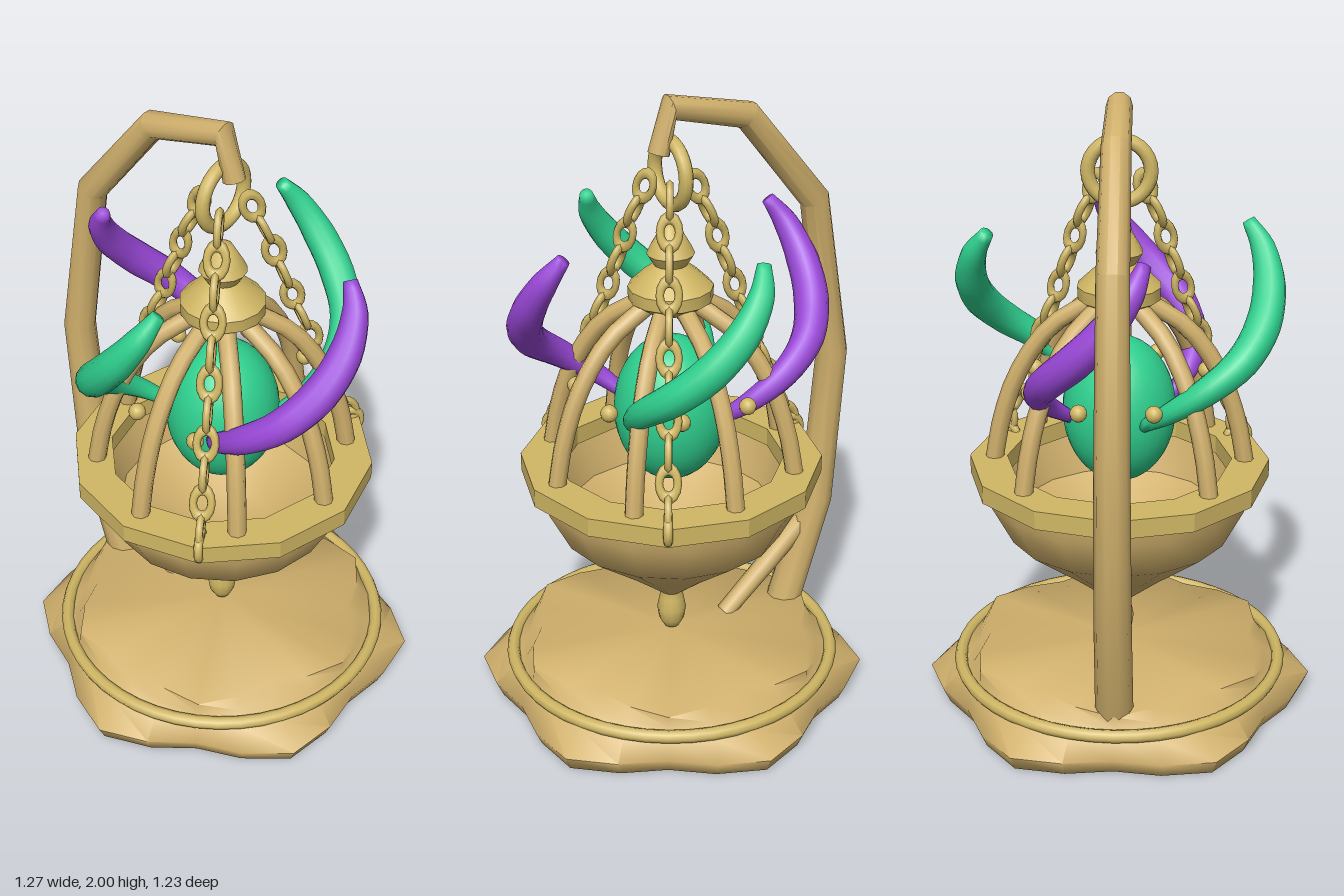
import * as THREE from 'three';
import { toCreasedNormals } from 'three/addons/utils/BufferGeometryUtils.js';

const V = (x, y, z) => new THREE.Vector3(x, y, z);

function material(name, color) {
  const m = new THREE.MeshStandardMaterial({ color });
  m.name = name;
  return m;
}

function add(parent, name, geometry, mat, x = 0, y = 0, z = 0) {
  const mesh = new THREE.Mesh(geometry, mat);
  mesh.name = name;
  mesh.position.set(x, y, z);
  parent.add(mesh);
  return mesh;
}

const lathe = (profile, segments) =>
  new THREE.LatheGeometry(profile.map(([r, y]) => new THREE.Vector2(r, y)), segments);

// Tapered, capped tube through a list of points
function sweep(points, radii, sides, crease) {
  const pos = [], index = [], n = points.length;
  let normal = V(1, 0, 0);
  points.forEach((p, i) => {
    const t = points[Math.min(i + 1, n - 1)].clone().sub(points[Math.max(i - 1, 0)]).normalize();
    normal = normal.clone().addScaledVector(t, -normal.dot(t)).normalize();
    const b = t.clone().cross(normal);
    for (let j = 0; j < sides; j++) {
      const a = (j / sides) * Math.PI * 2;
      const v = p.clone().addScaledVector(normal, Math.cos(a) * radii[i]).addScaledVector(b, Math.sin(a) * radii[i]);
      pos.push(v.x, v.y, v.z);
    }
  });
  const first = n * sides, last = first + 1;
  pos.push(...points[0].toArray(), ...points[n - 1].toArray());
  for (let j = 0; j < sides; j++) {
    const k = (j + 1) % sides;
    for (let i = 0; i < n - 1; i++) {
      const a = i * sides + j, b = i * sides + k;
      index.push(a, b, a + sides, b, b + sides, a + sides);
    }
    index.push(first, k, j, last, (n - 1) * sides + j, (n - 1) * sides + k);
  }
  const g = new THREE.BufferGeometry();
  g.setAttribute('position', new THREE.Float32BufferAttribute(pos, 3));
  g.setIndex(index);
  return toCreasedNormals(g, crease);
}

// Smooth tapered horn: points and radii are both interpolated
function curvedSweep(points, radii, steps, sides) {
  const curve = new THREE.CatmullRomCurve3(points);
  const pts = [], rs = [];
  for (let i = 0; i <= steps; i++) {
    const f = (i / steps) * (radii.length - 1);
    const k = Math.min(Math.floor(f), radii.length - 2);
    pts.push(curve.getPoint(i / steps));
    rs.push(THREE.MathUtils.lerp(radii[k], radii[k + 1], f - k));
  }
  return sweep(pts, rs, sides, 1.6);
}

// Base whose six lobes fade into the opposite phase towards the top
function baseGeometry() {
  const g = lathe([[0, 0], [0.575, 0], [0.597, 0.05], [0.54, 0.108], [0.495, 0.14], [0.47, 0.178], [0, 0.18]], 24);
  const p = g.attributes.position;
  for (let i = 0; i < p.count; i++) {
    const x = p.getX(i), y = p.getY(i), z = p.getZ(i);
    const amount = y < 0.06 ? 0.067 : y < 0.12 ? 0.025 : y < 0.15 ? -0.03 : -0.08;
    const s = 1 + amount * Math.cos(6 * Math.atan2(z, x));
    p.setXYZ(i, x * s, y, z * s);
  }
  return toCreasedNormals(g, 1.2);
}

export function createModel() {
  const bronze = material('bronze', 0xd0b06c);
  const brass = material('brass', 0xd0b764);
  const green = material('green', 0x2fd08f);
  const purple = material('purple', 0x9a48d8);
  const model = new THREE.Group();
  model.name = 'hangingLantern';

  // Bent post and its brace
  const postPath = [[0.14, -0.4], [0.53, -0.525], [1.06, -0.565], [1.6, -0.477], [1.905, -0.225], [1.965, 0.038], [1.83, 0.075]];
  add(model, 'post', sweep(postPath.map(([y, z]) => V(0, y, z)), [0.06, 0.057, 0.053, 0.048, 0.044, 0.04, 0.034], 10, 0.7), bronze);
  add(model, 'postBrace', sweep([V(0, 0.17, -0.17), V(0, 0.31, -0.325), V(0, 0.47, -0.5)], [0.031, 0.034, 0.035], 8, 0.9), bronze);

  // Everything else shares one vertical axis
  const lantern = new THREE.Group();
  lantern.name = 'lantern';
  lantern.position.z = 0.036;
  model.add(lantern);

  // Base and trim
  add(lantern, 'base', baseGeometry(), bronze);
  add(lantern, 'baseTrim', new THREE.TorusGeometry(0.53, 0.021, 8, 48), brass, 0, 0.122).rotation.x = Math.PI / 2;

  // Bowl with inner wall, rim and hanging drop
  add(lantern, 'bowl', toCreasedNormals(lathe([[0.03, 0.32], [0.06, 0.345], [0.18, 0.445], [0.36, 0.585], [0.43, 0.72], [0.435, 0.79],
    [0.38, 0.79], [0.33, 0.64], [0.16, 0.52], [0, 0.48]], 16), 0.6), bronze);
  add(lantern, 'rim', toCreasedNormals(lathe([[0.36, 0.77], [0.48, 0.77], [0.48, 0.83], [0.36, 0.83], [0.36, 0.77]], 12), 0.3), brass);
  add(lantern, 'drop', lathe([[0, 0.178], [0.025, 0.19], [0.042, 0.22], [0.048, 0.26], [0.04, 0.3], [0.034, 0.33], [0.04, 0.36]], 12), brass);

  // Glowing core
  add(lantern, 'core', new THREE.SphereGeometry(0.18, 32, 20), green, 0, 1.0, 0).scale.y = 1.33;

  // Cage ribs and studs
  const ribCurve = new THREE.CatmullRomCurve3([V(0.405, 0.8, 0), V(0.375, 0.96, 0), V(0.318, 1.12, 0), V(0.215, 1.27, 0), V(0.07, 1.365, 0)]);
  const ribGeometry = new THREE.TubeGeometry(ribCurve, 10, 0.029, 8);
  const studGeometry = new THREE.SphereGeometry(0.027, 12, 8);
  for (let i = 0; i < 8; i++) {
    const a = (i * Math.PI) / 4, s = a + Math.PI / 8;
    add(lantern, 'rib', ribGeometry, bronze).rotation.y = a;
    add(lantern, 'stud', studGeometry, brass, 0.297 * Math.cos(s), 1.09, 0.297 * Math.sin(s));
  }

  // Finial
  add(lantern, 'finial', toCreasedNormals(lathe([[0, 1.33], [0.08, 1.335], [0.13, 1.37], [0.132, 1.41], [0.085, 1.455], [0.052, 1.48],
    [0.074, 1.515], [0.062, 1.54], [0.027, 1.6], [0, 1.612]], 14), 0.7), brass);

  // Hanging ring
  add(lantern, 'hangingRing', new THREE.TorusGeometry(0.096, 0.022, 10, 28), brass, 0, 1.767, 0);

  // Three chains from the ring to the rim
  const linkGeometry = new THREE.TorusGeometry(0.028, 0.0125, 6, 14).scale(1, 1.55, 1);
  const hookGeometry = new THREE.TorusGeometry(0.042, 0.014, 8, 16);
  const chainCurve = new THREE.CatmullRomCurve3([V(0.09, 1.71, 0), V(0.14, 1.6, 0), V(0.215, 1.4, 0), V(0.335, 1.1, 0), V(0.44, 0.86, 0)]);
  const links = 11, down = V(0, -1, 0);
  [30, 150, 270].forEach((deg) => {
    const chain = new THREE.Group();
    chain.name = 'chain';
    chain.rotation.y = -THREE.MathUtils.degToRad(deg);
    lantern.add(chain);
    for (let i = 0; i < links; i++) {
      const u = i / (links - 1), p = chainCurve.getPointAt(u);
      const link = add(chain, 'link', linkGeometry, brass, p.x, p.y, p.z);
      link.quaternion.setFromUnitVectors(down, chainCurve.getTangentAt(u));
      link.rotateY((i % 2) * Math.PI / 2);
    }
    add(chain, 'rimHook', hookGeometry, brass, 0.445, 0.815, 0);
  });

  // Four curling horns, alternating in colour
  const hornGeometry = curvedSweep([V(0.08, 1.0, 0.15), V(0.16, 1.07, 0.215), V(0.27, 1.15, 0.235), V(0.375, 1.23, 0.195),
    V(0.44, 1.32, 0.11), V(0.46, 1.42, 0.02), V(0.44, 1.52, -0.05), V(0.395, 1.595, -0.085)],
  [0.02, 0.033, 0.044, 0.052, 0.055, 0.051, 0.039, 0.021], 28, 12);
  for (let i = 0; i < 4; i++) {
    add(lantern, 'horn', hornGeometry, i % 2 ? purple : green).rotation.y = (i * Math.PI) / 2;
  }
  return model;
}
